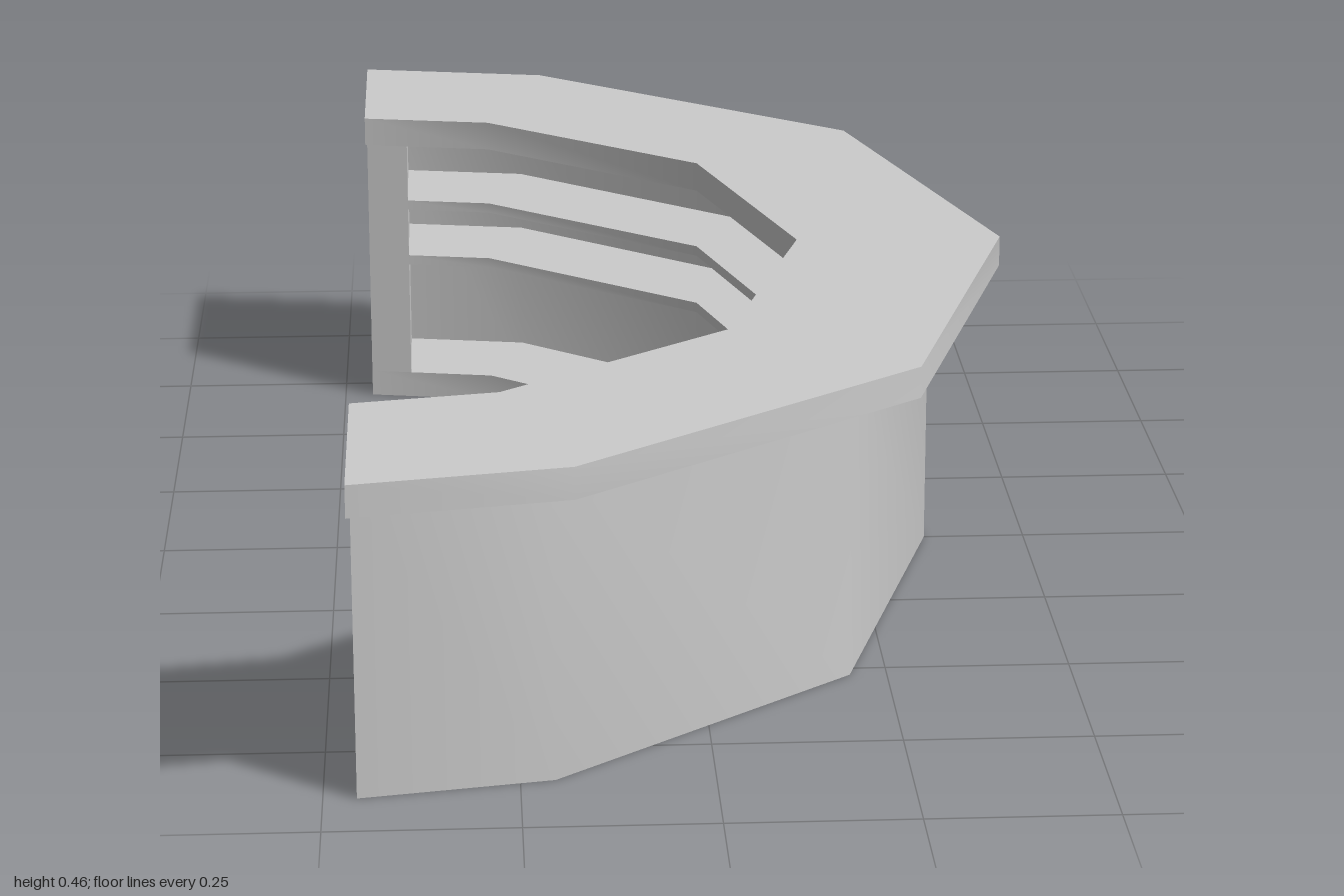
import * as THREE from 'three';
import { toCreasedNormals } from 'three/addons/utils/BufferGeometryUtils.js';

// Half profiles in plan (x, z), from the open end to the middle
const TOP_OUTER = [[-0.46, 1], [-0.18, 0.948], [0.283, 0.583], [0.456, 0]];
const BODY_OUTER = [[-0.457, 0.9], [-0.205, 0.855], [0.2, 0.523], [0.355, 0]];
const WALL_INNER = [[-0.457, 0.868], [-0.215, 0.825], [0.175, 0.508], [0.325, 0]];
const INNER = [[-0.46, 0.693], [-0.268, 0.658], [0.045, 0.408], [0.165, 0]];

// Moves the open end of a half profile along its first segment to x
function startAt(half, x) {
  const [[x0, z0], [x1, z1]] = half;
  const t = (x - x0) / (x1 - x0);
  return [[x, z0 + t * (z1 - z0)], ...half.slice(1)];
}

// Full run from the +z end to the -z end
function mirrored(half) {
  return [...half, ...half.slice(0, -1).reverse().map(([x, z]) => [x, -z])];
}

// Upright prism over a plan outline, from y0 to y1
function prism(name, outline, y0, y1, material) {
  const shape = new THREE.Shape(outline.map(([x, z]) => new THREE.Vector2(x, z)));
  const extruded = new THREE.ExtrudeGeometry(shape, { depth: y1 - y0, bevelEnabled: false });
  extruded.rotateX(Math.PI / 2);
  extruded.translate(0, y1, 0);
  const mesh = new THREE.Mesh(toCreasedNormals(extruded, 0.62), material);
  mesh.name = name;
  return mesh;
}

// Band between an outer and an inner profile
function band(name, outer, inner, y0, y1, material) {
  return prism(name, [...mirrored(outer), ...mirrored(inner).reverse()], y0, y1, material);
}

export function createModel() {
  const group = new THREE.Group();
  group.name = 'curvedCounter';
  const material = new THREE.MeshStandardMaterial({ color: 0xcccccc });
  const slabBottom = 0.413, floorTop = 0.04;

  // Overhanging counter top, front wall and floor
  group.add(band('counterTop', TOP_OUTER, INNER, slabBottom, 0.456, material));
  group.add(band('frontWall', BODY_OUTER, WALL_INNER, 0, slabBottom, material));
  group.add(band('floorBoard', WALL_INNER, startAt(INNER, -0.457), 0, floorTop, material));

  // Two thin shelves between the end panels
  for (const [i, y] of [0.22, 0.31].entries()) {
    group.add(band(`shelf${i + 1}`, startAt(WALL_INNER, -0.41), startAt(INNER, -0.41), y, y + 0.015, material));
  }

  // End panels closing both ends
  const inA = startAt(INNER, -0.457)[0], inB = startAt(INNER, -0.395)[0];
  const outA = WALL_INNER[0], outB = startAt(WALL_INNER, -0.395)[0];
  for (const [name, s] of [['frontEndPanel', 1], ['backEndPanel', -1]]) {
    const outline = [inA, inB, outB, outA].map(([x, z]) => [x, z * s]);
    group.add(prism(name, outline, floorTop, slabBottom, material));
  }
  return group;
}
